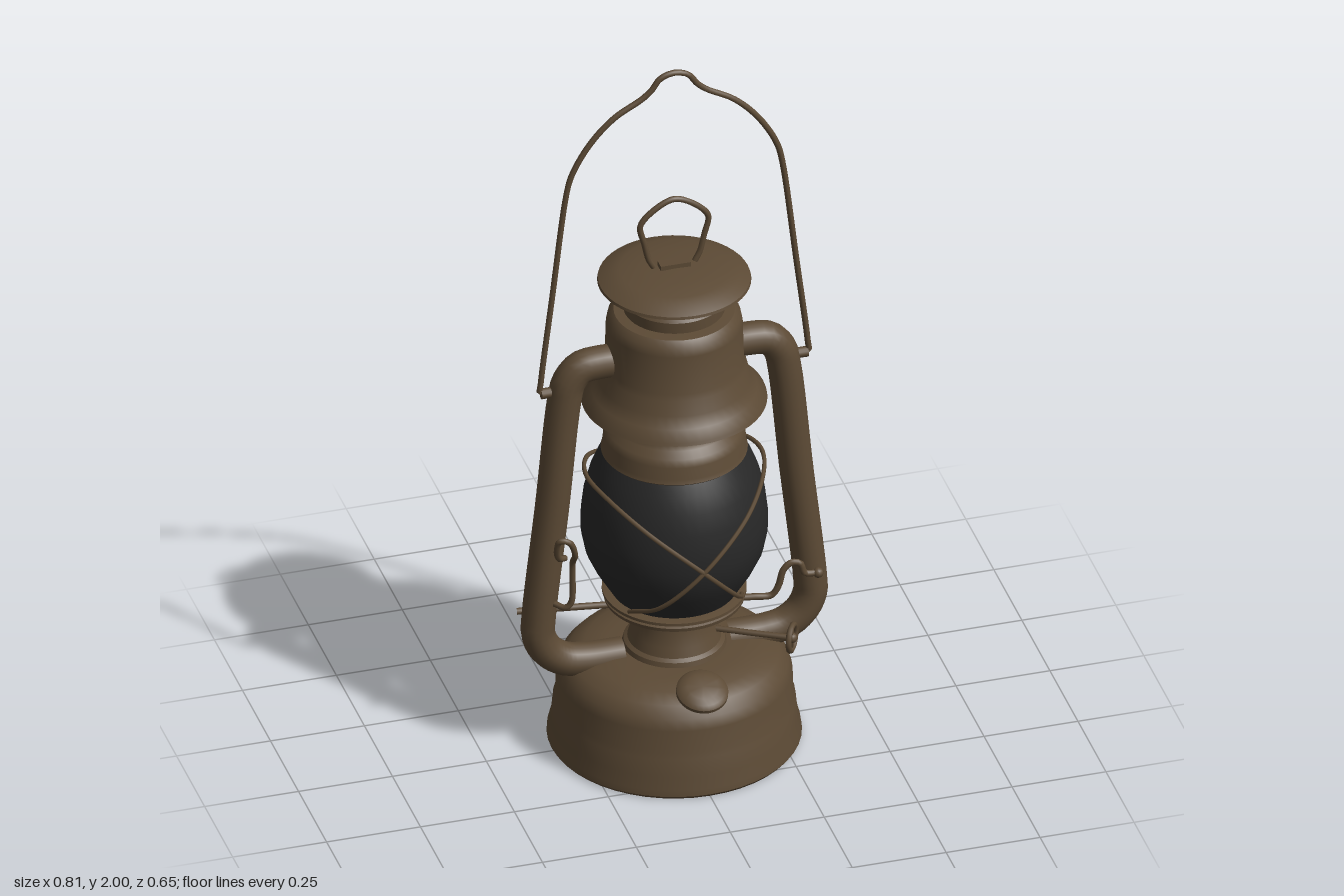
import * as THREE from 'three';
import { toCreasedNormals } from 'three/addons/utils/BufferGeometryUtils.js';

export function createModel() {
  const root = new THREE.Group();
  const metal = new THREE.MeshStandardMaterial({ color: 0x5c4a35 });
  metal.name = 'aged brown metal';
  const glass = new THREE.MeshStandardMaterial({ color: 0x282828 });
  glass.name = 'smoked glass';

  const add = (name, geometry, material = metal, parent = root) => {
    const mesh = new THREE.Mesh(geometry, material);
    mesh.name = name;
    parent.add(mesh);
    return mesh;
  };
  // Turned part; the profile runs so that its outer side goes upward
  const turned = (name, profile, material = metal, parent = root, segments = 48) => {
    const lathe = new THREE.LatheGeometry(profile.map(([r, y]) => new THREE.Vector2(r, y)), segments);
    return add(name, toCreasedNormals(lathe, 0.6), material, parent);
  };
  // Round wire or pipe through points
  const pipe = (name, points, radius, { closed = false, steps = 64, sides = 8, tension = 0.5, parent = root } = {}) => {
    const curve = new THREE.CatmullRomCurve3(points.map(p => new THREE.Vector3(...p)), closed,
      tension === 0.5 ? 'centripetal' : 'catmullrom', tension);
    return add(name, new THREE.TubeGeometry(curve, steps, radius, sides, closed), metal, parent);
  };

  // Fuel tank
  turned('fuelTank', [[0, 0.005], [0.31, 0.005], [0.32, 0], [0.326, 0.008], [0.324, 0.025], [0.315, 0.06],
    [0.31, 0.11], [0.304, 0.125], [0.302, 0.19], [0.292, 0.22], [0.268, 0.247], [0.23, 0.264],
    [0.18, 0.273], [0.12, 0.276], [0, 0.277]]);

  // Burner cone and the gallery that carries the globe
  turned('burner', [[0.135, 0.27], [0.13, 0.288], [0.12, 0.295], [0.112, 0.32], [0.1, 0.36],
    [0.1, 0.395], [0.12, 0.412], [0, 0.412]]);
  turned('globeGallery', [[0, 0.408], [0.165, 0.408], [0.18, 0.415], [0.182, 0.425], [0.172, 0.43],
    [0.185, 0.434], [0.185, 0.442], [0.165, 0.445], [0, 0.445]]);

  // Glass globe
  turned('globe', [[0.16, 0.44], [0.178, 0.47], [0.205, 0.515], [0.228, 0.565], [0.239, 0.62], [0.239, 0.67],
    [0.232, 0.73], [0.218, 0.785], [0.2, 0.83], [0.183, 0.862]], glass);

  // Collar over the globe
  turned('globeCollar', [[0, 0.858], [0.182, 0.858], [0.188, 0.864], [0.184, 0.875], [0.182, 0.91],
    [0.174, 0.93], [0.155, 0.945], [0.146, 0.96], [0.146, 1.1]]);

  // Flared hood with an open underside
  turned('hood', [[0, 1.09], [0.165, 1.09], [0.19, 1.055], [0.23, 1.012], [0.238, 1.012], [0.236, 1.02],
    [0.212, 1.045], [0.195, 1.075], [0.185, 1.115], [0.178, 1.13], [0.175, 1.24], [0.17, 1.265],
    [0.155, 1.28], [0.12, 1.284], [0, 1.284]]);

  // Chimney crown: low ring, four posts, cap
  turned('crownRing', [[0.12, 1.28], [0.13, 1.285], [0.13, 1.315], [0.122, 1.325], [0.112, 1.325], [0.11, 1.284]]);
  const postShape = new THREE.Shape();
  const half = 0.3;
  postShape.absarc(0, 0, 0.122, -half, half, false);
  postShape.absarc(0, 0, 0.112, half, -half, true);
  const postGeometry = new THREE.ExtrudeGeometry(postShape, { depth: 0.06, bevelEnabled: false, curveSegments: 8 });
  postGeometry.rotateX(-Math.PI / 2);
  for (let i = 0; i < 4; i++) {
    const post = add('crownPost', postGeometry);
    post.position.y = 1.315;
    post.rotation.y = i * Math.PI / 2;
  }
  turned('cap', [[0, 1.366], [0.13, 1.366], [0.165, 1.372], [0.19, 1.366], [0.197, 1.369], [0.195, 1.376],
    [0.17, 1.39], [0.14, 1.4], [0.08, 1.406], [0, 1.41]]);

  // Lifting loop on the cap
  add('loopTab', new THREE.BoxGeometry(0.08, 0.016, 0.03)).position.y = 1.413;
  pipe('capLoop', [[-0.055, 1.415, 0], [-0.068, 1.44, 0], [-0.08, 1.49, 0], [-0.091, 1.54, 0], [-0.08, 1.562, 0],
    [-0.035, 1.598, 0], [0, 1.61, 0], [0.035, 1.598, 0], [0.08, 1.562, 0], [0.091, 1.54, 0], [0.08, 1.49, 0],
    [0.068, 1.44, 0], [0.055, 1.415, 0]], 0.008);

  // Side air tubes
  for (const s of [-1, 1]) {
    pipe('sideTube', [[0.13, 1.15, 0], [0.2, 1.153, 0], [0.25, 1.145, 0], [0.28, 1.11, 0], [0.292, 1.06, 0],
      [0.325, 0.74, 0], [0.361, 0.41, 0], [0.362, 0.36, 0], [0.34, 0.31, 0], [0.295, 0.275, 0],
      [0.24, 0.264, 0], [0.14, 0.262, 0]].map(([x, y, z]) => [s * x, y, z]), 0.044, { steps: 72, sides: 16 });
    // Ear holding the carrying handle
    const ear = add('handleEar', new THREE.CylinderGeometry(0.014, 0.014, 0.06, 12));
    ear.rotation.z = Math.PI / 2;
    ear.position.set(s * 0.325, 1.085, 0);
  }

  // Carrying handle
  const halfHandle = [[0.335, 1.085], [0.357, 1.085], [0.355, 1.12], [0.325, 1.37], [0.288, 1.67], [0.275, 1.725],
    [0.245, 1.785], [0.205, 1.84], [0.155, 1.887], [0.085, 1.928], [0.06, 1.95], [0.038, 1.98]];
  pipe('carryingHandle', [...halfHandle.map(([x, y]) => [-x, y, 0]), [0, 1.992, 0],
    ...halfHandle.slice().reverse().map(([x, y]) => [x, y, 0])], 0.008, { steps: 140 });

  // Crossed guard wires around the globe
  for (const s of [-1, 1]) {
    const front = [[-0.15, 0.45, 0.1], [-0.1, 0.53, 0.225], [0, 0.64, 0.268], [0.13, 0.745, 0.208], [0.207, 0.8, 0.1]];
    const path = [...front, [0.232, 0.812, 0], ...front.slice().reverse().map(([x, y, z]) => [x, y, -z])];
    pipe('guardWire', path.map(([x, y, z]) => [s * x, y, z]), 0.006, { steps: 90, sides: 6 });
  }

  // Tilted filler cap on the tank
  const filler = new THREE.Group();
  filler.name = 'fillerCap';
  filler.position.set(0, 0.235, 0.235);
  filler.rotation.x = 0.36;
  root.add(filler);
  turned('fillerNeck', [[0.04, -0.02], [0.04, 0.03], [0.05, 0.035]], metal, filler, 24);
  turned('fillerLid', [[0, 0.028], [0.055, 0.028], [0.067, 0.034], [0.067, 0.044], [0.058, 0.054],
    [0.04, 0.06], [0, 0.062]], metal, filler, 28);

  // Wick shaft and ring knob
  const knob = new THREE.Group();
  knob.name = 'wickKnob';
  knob.position.set(0.268, 0.327, 0.152);
  knob.rotation.y = Math.atan2(0.85, 0.53);
  root.add(knob);
  add('knobRing', new THREE.TorusGeometry(0.034, 0.008, 8, 24), metal, knob);
  add('knobHub', new THREE.SphereGeometry(0.014, 12, 8), metal, knob);
  add('knobSpoke', new THREE.BoxGeometry(0.012, 0.066, 0.008), metal, knob);
  pipe('wickShaft', [[0.06, 0.325, 0.03], [0.16, 0.326, 0.09], [0.268, 0.327, 0.152]], 0.008, { steps: 8 });

  // Globe lift rod with cranked end
  pipe('liftRod', [[-0.4, 0.395, -0.066], [-0.2, 0.395, -0.035], [0, 0.395, 0], [0.2, 0.395, 0.04],
    [0.245, 0.397, 0.048], [0.262, 0.425, 0.052], [0.275, 0.472, 0.054], [0.297, 0.49, 0.055],
    [0.318, 0.485, 0.057], [0.33, 0.455, 0.058], [0.365, 0.45, 0.06]], 0.009, { steps: 90 });
  add('rodEndLeft', new THREE.SphereGeometry(0.014, 12, 8)).position.set(-0.365, 0.395, -0.062);
  add('rodEndRight', new THREE.SphereGeometry(0.014, 12, 8)).position.set(0.365, 0.45, 0.06);

  // Finger loop beside the tube
  pipe('fingerLoop', [[-0.33, 0.465, 0.03], [-0.305, 0.463, 0.055], [-0.292, 0.48, 0.06], [-0.29, 0.6, 0.065],
    [-0.292, 0.645, 0.095], [-0.31, 0.69, 0.105], [-0.333, 0.695, 0.1], [-0.338, 0.66, 0.085],
    [-0.325, 0.62, 0.065], [-0.305, 0.61, 0.05]], 0.008, { steps: 60 });

  return root;
}
